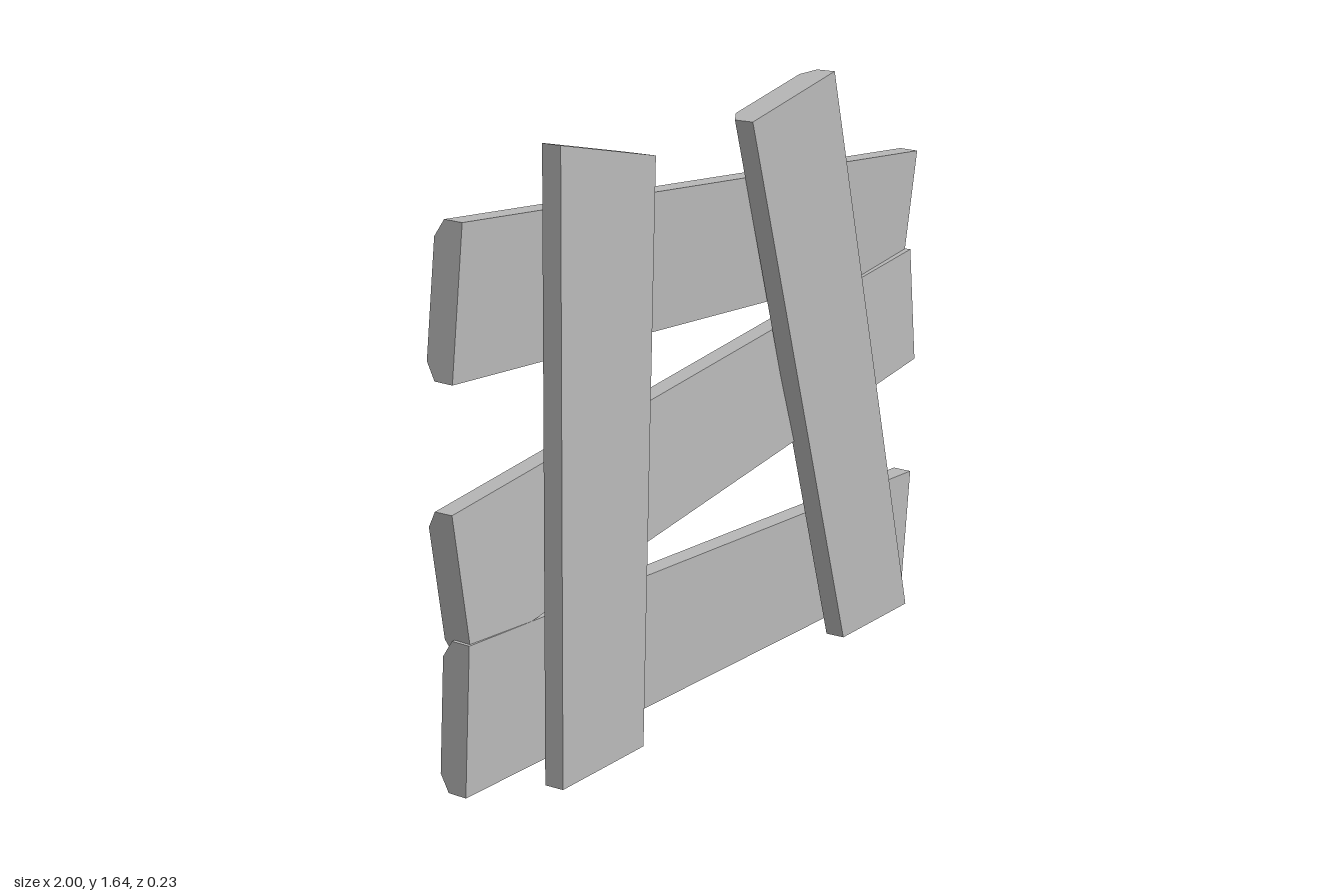
import * as THREE from 'three';

const THICK = 0.085;   // board thickness
const BEVEL_IN = 0.045; // how far the back bevel cuts across the board
const BEVEL_D = 0.028; // how deep the bevel is

// Board from four front corners (clockwise from the front); edges 0-1 and 3-2
// are the long ones and are bevelled at the back.
function board(name, corners, material) {
  const c = corners.map(p => new THREE.Vector3(...p));
  const normal = c[2].clone().sub(c[0]).cross(c[1].clone().sub(c[3])).normalize();
  const back = (p, d) => p.clone().addScaledVector(normal, -d);

  // six-sided cross-section at one end, running a -> back -> b
  const section = (a, b) => {
    const inset = b.clone().sub(a).setLength(BEVEL_IN);
    return [
      a, back(a, THICK - BEVEL_D), back(a, THICK).add(inset),
      back(b, THICK).sub(inset), back(b, THICK - BEVEL_D), b,
    ];
  };
  const points = [...section(c[0], c[3]), ...section(c[1], c[2])];

  const index = [];
  for (let i = 0; i < 6; i++) {
    const j = (i + 1) % 6;
    index.push(i, i + 6, j + 6, i, j + 6, j);
  }
  // end caps
  for (let i = 1; i < 5; i++) {
    index.push(0, i, i + 1, 6, i + 7, i + 6);
  }

  const indexed = new THREE.BufferGeometry().setFromPoints(points);
  indexed.setIndex(index);
  const geometry = indexed.toNonIndexed();
  geometry.computeVertexNormals();
  const mesh = new THREE.Mesh(geometry, material);
  mesh.name = name;
  return mesh;
}

export function createModel() {
  const wood = new THREE.MeshStandardMaterial({ color: 0xb8b8b8, flatShading: true });
  wood.name = 'plain grey';
  const group = new THREE.Group();
  group.name = 'boardedPlanks';

  const boards = {
    // uprights, leaning slightly back
    rightPost: [[-0.755, 0.003, 0.117], [-0.67, 1.645, 0.07], [-0.29, 1.55, 0.073], [-0.415, 0.003, 0.117]],
    leftPost: [[0.535, 0.003, 0.117], [0.135, 1.56, 0.073], [0.525, 1.63, 0.07], [0.865, 0.003, 0.117]],
    // crosswise planks behind the uprights
    topPlank: [[-0.95, 1.5, -0.008], [1.0, 1.32, 0.042], [0.935, 0.997, 0.042], [-1.0, 1.11, -0.008]],
    middlePlank: [[-0.985, 0.772, -0.032], [0.945, 1.045, 0.06], [0.955, 0.72, 0.075], [-0.945, 0.382, -0.012]],
    bottomPlank: [[-0.96, 0.43, -0.008], [0.985, 0.365, 0.05], [0.943, 0.042, 0.054], [-0.99, 0.034, -0.005]],
  };
  for (const [name, corners] of Object.entries(boards)) {
    group.add(board(name, corners, wood));
  }
  return group;
}
